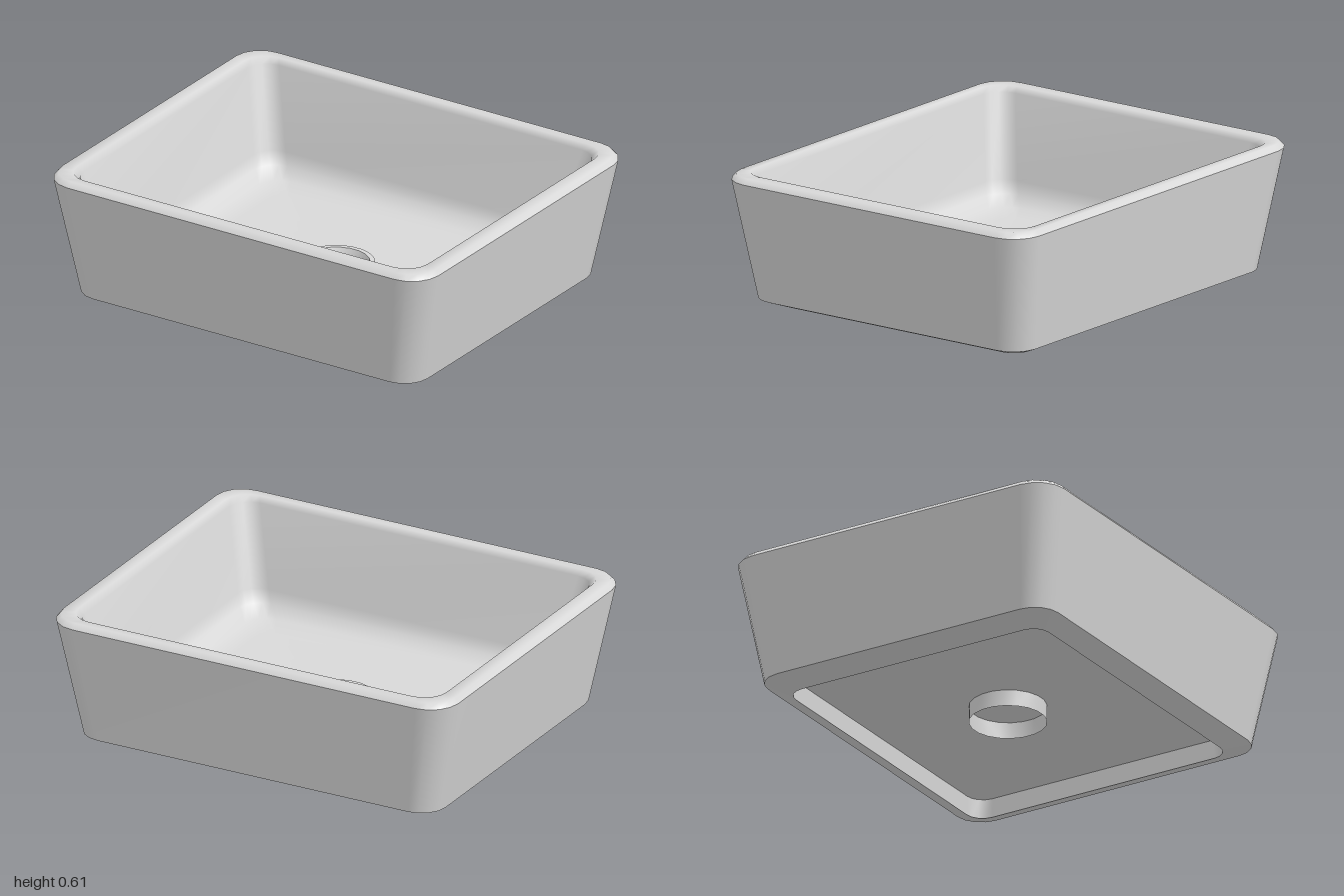
import * as THREE from 'three';

const STEPS = 4; // segments per rounded corner
const COUNT = 4 * (STEPS + 1);

// Rounded rectangle ring: half sizes hx, hz, corner radius r, height y
function rect(hx, hz, r, y) {
  const pts = [];
  for (let c = 0; c < 4; c++) {
    const sx = c === 0 || c === 3 ? 1 : -1;
    const sz = c < 2 ? 1 : -1;
    for (let s = 0; s <= STEPS; s++) {
      const a = (c + s / STEPS) * Math.PI / 2;
      pts.push([sx * (hx - r) + r * Math.cos(a), y, sz * (hz - r) + r * Math.sin(a)]);
    }
  }
  return pts;
}

// Circular ring with the same number of points
function circle(r, y) {
  return Array.from({ length: COUNT }, (_, i) => {
    const a = (i + 0.5) / COUNT * Math.PI * 2;
    return [r * Math.cos(a), y, r * Math.sin(a)];
  });
}

// Smooth skin through a list of rings
function loft(rings) {
  const index = [];
  for (let k = 0; k < rings.length - 1; k++) {
    for (let i = 0; i < COUNT; i++) {
      const j = (i + 1) % COUNT;
      const a = k * COUNT, b = a + COUNT;
      index.push(a + i, b + i, a + j, a + j, b + i, b + j);
    }
  }
  const g = new THREE.BufferGeometry();
  g.setAttribute('position', new THREE.Float32BufferAttribute(rings.flat(2), 3));
  g.setIndex(index);
  g.computeVertexNormals();
  return g;
}

export function createModel() {
  const group = new THREE.Group();
  group.name = 'basin';
  const ceramic = new THREE.MeshStandardMaterial({ color: 0xd8d8d8, side: THREE.DoubleSide });
  ceramic.name = 'ceramic';

  const add = (name, ...rings) => {
    const mesh = new THREE.Mesh(loft(rings), ceramic);
    mesh.name = name;
    group.add(mesh);
  };

  // Underside: recessed panel, its upright wall, and the bevelled foot
  const panelEdge = rect(0.782, 0.652, 0.08, 0.088);
  const lip = rect(0.785, 0.655, 0.08, 0);
  const foot = rect(0.9, 0.75, 0.12, 0.043);
  add('undersidePanel', circle(0.001, 0.084), circle(0.172, 0.084), panelEdge);
  add('recessWall', panelEdge, lip);
  add('footBevel', lip, foot);

  // Tapered outside
  const shoulder = rect(1, 0.832, 0.14, 0.59);
  add('outerWall', foot, shoulder);

  // Rounded rim, running into the bowl and its filleted floor
  const flangeFoot = circle(0.172, 0.11);
  add('rimAndBowl',
    shoulder,
    rect(0.98, 0.812, 0.125, 0.614),
    rect(0.922, 0.77, 0.11, 0.614),
    rect(0.897, 0.748, 0.1, 0.59),
    rect(0.81, 0.67, 0.1, 0.225),
    rect(0.785, 0.645, 0.1, 0.17),
    rect(0.73, 0.59, 0.1, 0.13),
    rect(0.64, 0.50, 0.1, 0.112),
    flangeFoot);

  // Drain: low flange, short wall and closed bottom
  const flangeTop = circle(0.172, 0.136);
  const seat = circle(0.15, 0.136);
  const sump = circle(0.137, 0.1);
  add('flangeEdge', flangeFoot, flangeTop);
  add('drainFlange', flangeTop, seat);
  add('drainWall', seat, sump);
  add('drainBottom', sump, circle(0.001, 0.1));

  // Open outlet collar under the panel
  add('outletCollar', circle(0.172, 0.008), circle(0.172, 0.084));

  return group;
}
